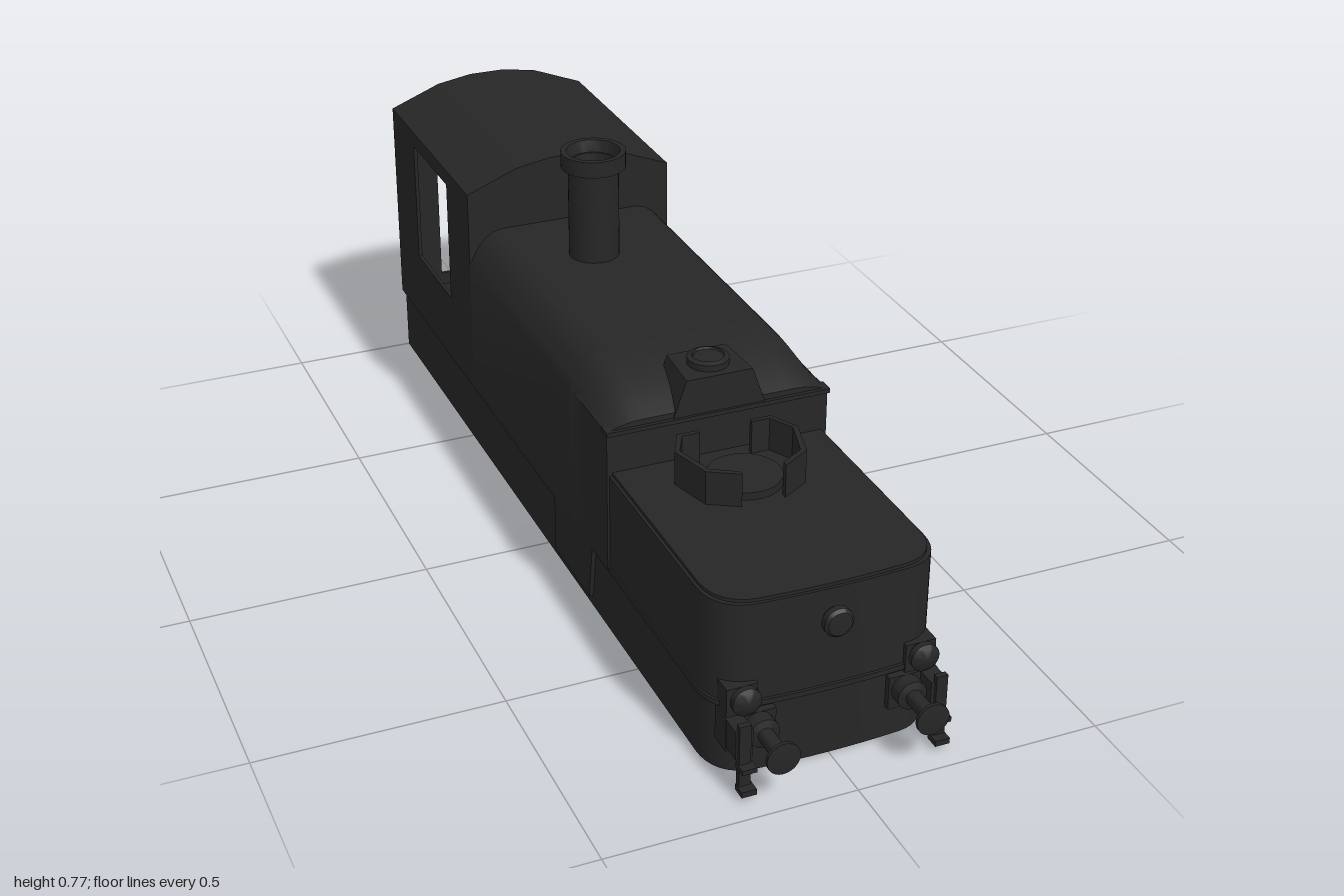
import * as THREE from 'three';
import { toCreasedNormals } from 'three/addons/utils/BufferGeometryUtils.js';

const paint = new THREE.MeshStandardMaterial({ color: 0x262626, side: THREE.DoubleSide });

const polygon = (pts) => new THREE.Shape(pts.map(([a, b]) => new THREE.Vector2(a, b)));
const rect = (a0, b0, a1, b1) => [[a0, b0], [a1, b0], [a1, b1], [a0, b1]];
const mirrorX = (pts) => [...pts, ...pts.slice().reverse().filter(p => p[0] !== 0).map(([x, y]) => [-x, y])];

export function createModel() {
  const model = new THREE.Group();

  function add(name, geometry, x = 0, y = 0, z = 0, parent = model) {
    const mesh = new THREE.Mesh(geometry, paint);
    mesh.name = name;
    mesh.position.set(x, y, z);
    parent.add(mesh);
    return mesh;
  }
  const box = (name, x0, x1, y0, y1, z0, z1, parent) =>
    add(name, new THREE.BoxGeometry(x1 - x0, y1 - y0, z1 - z0), (x0 + x1) / 2, (y0 + y1) / 2, (z0 + z1) / 2, parent);
  // Extrusions along z (outline x,y), along x (outline z,y) and upwards (outline x,-z)
  const extrude = (shape, depth, steps = 1) => new THREE.ExtrudeGeometry(shape, { depth, steps, bevelEnabled: false, curveSegments: 8 });
  const alongZ = (shape, z0, z1, steps) => extrude(shape, z1 - z0, steps).translate(0, 0, z0);
  const alongX = (shape, x0, x1) => extrude(shape, x1 - x0).rotateY(-Math.PI / 2).translate(x1, 0, 0);
  const upward = (shape, y0, y1) => extrude(shape, y1 - y0).rotateX(-Math.PI / 2).translate(0, y0, 0);
  const smooth = (g) => toCreasedNormals(g, 0.6);
  const lathe = (pts, segments = 24) => smooth(new THREE.LatheGeometry(pts.map(p => new THREE.Vector2(...p)), segments));

  // Plan outline with rounded front corners and a slightly bowed nose
  function plan(w, back, front) {
    const s = new THREE.Shape();
    s.moveTo(-w, -back);
    s.lineTo(w, -back);
    s.lineTo(w, -(front - 0.1));
    s.bezierCurveTo(w, -(front - 0.045), w - 0.03, -(front - 0.012), w - 0.075, -(front - 0.008));
    s.quadraticCurveTo(0, -(front + 0.004), -(w - 0.075), -(front - 0.008));
    s.bezierCurveTo(-(w - 0.03), -(front - 0.012), -w, -(front - 0.045), -w, -(front - 0.1));
    s.closePath();
    return s;
  }

  // Chassis skirt, bonnet and its trim lines
  add('chassisSkirt', smooth(upward(plan(0.226, -1, 0.88), 0, 0.15)));
  add('bonnetTrim', smooth(upward(plan(0.233, 0.3, 0.886), 0.146, 0.157)));
  add('bonnet', smooth(upward(plan(0.23, 0.3, 0.88), 0.155, 0.364)));
  add('bonnetTop', smooth(upward(plan(0.224, 0.3, 0.874), 0.364, 0.371)));
  add('sideApron', alongX(polygon([[0.28, 0.152], [0.26, 0.025], [0.065, 0.025], [0.065, 0.152]]), -0.235, 0.235));

  // Tank body with rounded shoulders, its roof sloping down at the front
  const section = polygon(mirrorX([[0.235, 0.15], [0.235, 0.46], [0.224, 0.478], [0.212, 0.5],
    [0.196, 0.517], [0.178, 0.529], [0.155, 0.533]]));
  add('tankBody', smooth(alongZ(section, -0.45, 0.165)));
  const nose = alongZ(section, 0.165, 0.365, 6);
  const pos = nose.attributes.position;
  for (let i = 0; i < pos.count; i++) {
    const y = pos.getY(i), t = (pos.getZ(i) - 0.165) / 0.2;
    if (y > 0.46) pos.setY(i, 0.46 + (y - 0.46) * (1 - 0.78 * t ** 1.8));
  }
  nose.computeVertexNormals();
  add('tankNose', smooth(nose));
  box('tankLip', -0.237, 0.237, 0.455, 0.464, 0.34, 0.373);

  // Filler housing on the tank nose, tapering upwards
  const housing = new THREE.BoxGeometry(0.2, 0.085, 0.115);
  const hp = housing.attributes.position;
  for (let i = 0; i < hp.count; i++) {
    const rear = hp.getZ(i) < 0 ? 0.9 : 1;
    hp.setX(i, hp.getX(i) * (hp.getY(i) > 0 ? 0.7 : 1) * rear);
  }
  housing.computeVertexNormals();
  add('fillerHousing', housing, 0, 0.4985, 0.31);
  add('fillerCap', lathe([[0, 0], [0.042, 0], [0.042, 0.014], [0.032, 0.018], [0.03, 0.014], [0, 0.014]]), 0, 0.54, 0.31);

  // Bonnet hatch with a pair of angled guards
  add('hatch', smooth(new THREE.CylinderGeometry(0.075, 0.075, 0.02, 32)), 0, 0.377, 0.487);
  const outer = [[0.055, 0.39], [0.1, 0.39], [0.13, 0.45], [0.105, 0.54], [0.045, 0.575]];
  const inner = [[0.045, 0.563], [0.095, 0.533], [0.119, 0.45], [0.093, 0.4], [0.055, 0.4]];
  for (const s of [-1, 1]) {
    add('hatchGuard', upward(polygon([...outer, ...inner].map(([x, z]) => [s * x, -z])), 0.368, 0.442));
  }

  // Hollow chimney
  add('chimney', lathe([[0.054, 0], [0.054, 0.205], [0.069, 0.205], [0.069, 0.24],
    [0.057, 0.24], [0.05, 0.215], [0.046, 0.215], [0.046, 0.1], [0, 0.1]], 32), -0.016, 0.53, -0.257);

  // Cab walls with window openings, and arched roof
  const cab = new THREE.Group();
  cab.name = 'cab';
  model.add(cab);
  const side = polygon(rect(-1, 0.15, -0.45, 0.625));
  side.holes.push(polygon(rect(-0.84, 0.31, -0.6, 0.59)));
  for (const x0 of [-0.235, 0.227]) add('cabSide', alongX(side, x0, x0 + 0.008), 0, 0, 0, cab);
  const arch = [[0.235, 0.625], [0.12, 0.67], [0.04, 0.683]];
  const endOutline = mirrorX([[0.235, 0.15], ...arch]);
  const rear = polygon(endOutline);
  rear.holes.push(polygon(rect(-0.135, 0.18, 0.135, 0.515)));
  add('cabRear', alongZ(rear, -1, -0.992), 0, 0, 0, cab);
  add('cabFront', alongZ(polygon(endOutline), -0.458, -0.45), 0, 0, 0, cab);
  const under = arch.map(([x, y]) => [x, y - 0.008]);
  const roof = [...mirrorX(arch), ...mirrorX(under).reverse()];
  add('cabRoof', alongZ(polygon(roof), -1, -0.45), 0, 0, 0, cab);

  // Forward-facing round parts
  const forward = (pts, seg) => lathe(pts, seg).rotateX(Math.PI / 2);
  add('headlight', forward([[0.024, -0.01], [0.024, 0.01], [0.03, 0.012], [0.03, 0.024], [0.024, 0.03], [0, 0.033]]), 0, 0.3, 0.874);

  // Buffers, lamps and guard irons, mirrored
  for (const s of [-1, 1]) {
    const g = new THREE.Group();
    g.name = s > 0 ? 'leftBufferGear' : 'rightBufferGear';
    model.add(g);
    const part = (name, x0, x1, ...rest) => box(name, Math.min(s * x0, s * x1), Math.max(s * x0, s * x1), ...rest, g);
    part('bufferPlate', 0.115, 0.215, 0.07, 0.14, 0.84, 0.888);
    add('buffer', forward([[0.03, 0], [0.03, 0.035], [0.016, 0.04], [0.016, 0.105], [0.033, 0.108], [0.033, 0.115], [0, 0.12]]),
      s * 0.15, 0.11, 0.88, g);
    part('lampBracket', 0.15, 0.212, 0.14, 0.2, 0.83, 0.882);
    add('lamp', forward([[0.022, 0], [0.022, 0.02], [0.029, 0.022], [0.029, 0.034], [0.022, 0.04], [0, 0.044]]),
      s * 0.18, 0.178, 0.868, g);
    part('guardBracket', 0.18, 0.214, 0.08, 0.14, 0.84, 0.93);
    part('guardIron', 0.187, 0.21, 0.012, 0.155, 0.925, 0.937);
    part('guardFoot', 0.182, 0.212, 0.012, 0.024, 0.925, 0.955);
    part('guardStep', 0.182, 0.212, 0.062, 0.072, 0.925, 0.955);
  }
  return model;
}
